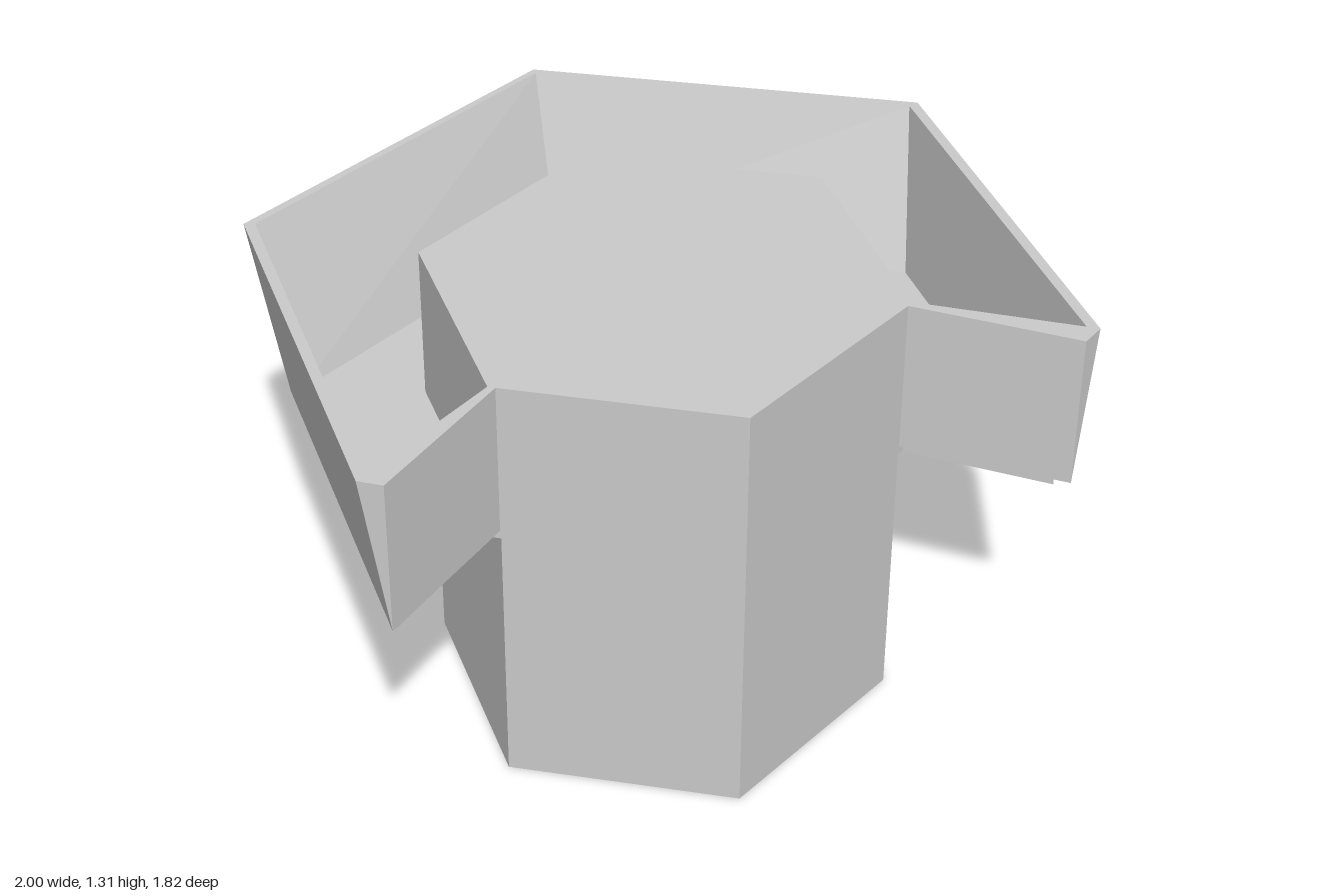
import * as THREE from 'three';

const material = new THREE.MeshStandardMaterial({ color: 0xcccccc, flatShading: true });
const TOP = 1.31, FLOOR = 0.845, PLATE = 0.81;

// Upright prism from half of a plan outline [x, z], mirrored across x = 0
function prism(name, half, y0, y1) {
  const mirrored = half.filter(p => p[0] > 0).reverse().map(([x, z]) => [-x, z]);
  const shape = new THREE.Shape([...half, ...mirrored].map(p => new THREE.Vector2(...p)));
  const geometry = new THREE.ExtrudeGeometry(shape, { depth: y1 - y0, bevelEnabled: false });
  geometry.rotateX(Math.PI / 2).translate(0, y1, 0);
  const mesh = new THREE.Mesh(geometry, material);
  mesh.name = name;
  return mesh;
}

// Flared wall: a four-point section swept round the tray, with flat facets
function trayWall() {
  // each station: outer bottom, outer top, inner top, inner bottom as [x, z]
  const half = [
    [[0.565, 0.58], [0.565, 0.58], [0.585, 0.57], [0.585, 0.57]],
    [[0.94, 0.88], [0.94, 0.88], [0.97, 0.82], [0.915, 0.785]],
    [[0.94, 0.88], [1, 0.84], [0.97, 0.82], [0.915, 0.785]],
    [[0.94, -0.2], [1, -0.37], [0.97, -0.36], [0.915, -0.195]],
    [[0, -0.74], [0, -0.912], [0, -0.89], [0, -0.72]],
  ];
  const heights = [FLOOR, TOP, TOP, FLOOR];
  const mirrored = half.slice(0, -1).reverse().map(s => s.map(([x, z]) => [-x, z]));
  const stations = [...half, ...mirrored];
  const point = (s, i) => [stations[s][i][0], heights[i], stations[s][i][1]];
  const positions = [];
  for (let s = 0; s < stations.length - 1; s++) {
    for (let i = 0; i < 4; i++) {
      const j = (i + 1) % 4;
      const a = point(s, i), b = point(s + 1, i), c = point(s + 1, j), d = point(s, j);
      positions.push(...a, ...b, ...c, ...a, ...c, ...d);
    }
  }
  const geometry = new THREE.BufferGeometry();
  geometry.setAttribute('position', new THREE.Float32BufferAttribute(positions, 3));
  geometry.computeVertexNormals();
  const mesh = new THREE.Mesh(geometry, material);
  mesh.name = 'trayWall';
  return mesh;
}

export function createModel() {
  const model = new THREE.Group();
  model.name = 'hexagonalPedestal';

  // Hexagonal column below the tray
  model.add(prism('column', [[0, 0.91], [0.565, 0.583], [0.565, -0.07], [0, -0.397]], 0, 0.82));

  // Upper column with the slightly wider sleeve round its back
  model.add(prism('upperColumn',
    [[0, 0.91], [0.565, 0.583], [0.585, 0.571], [0.585, -0.08], [0, -0.418]], 0.82, TOP));

  // Floor plate carrying the tray
  model.add(prism('floorPlate',
    [[0.585, 0.56], [0.915, 0.83], [0.915, -0.195], [0, -0.72]], PLATE, FLOOR));

  // Tray wall with its two front arms
  model.add(trayWall());
  return model;
}
